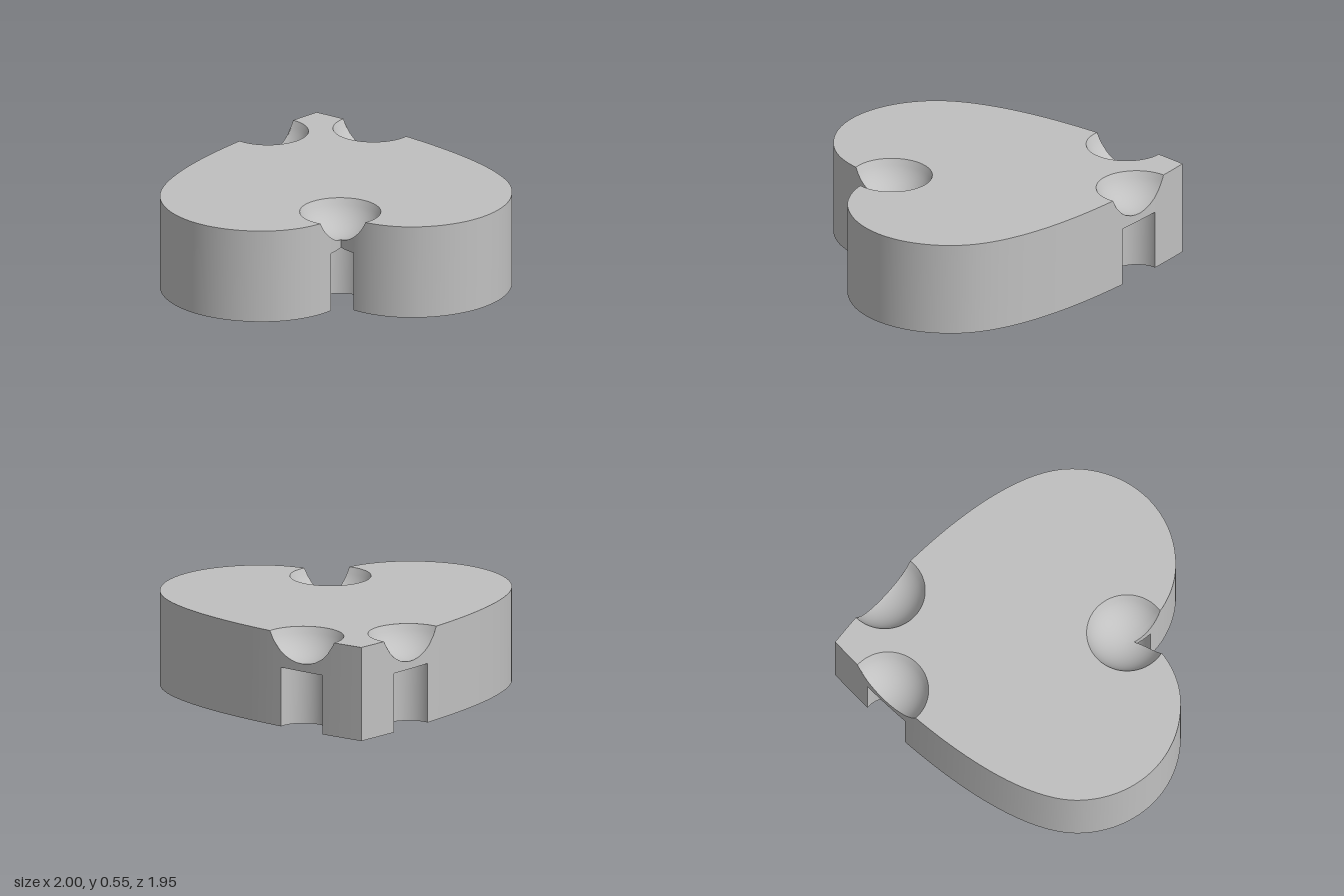
import * as THREE from 'three';

const HEIGHT = 0.547, NOTCH_TOP = 0.345;        // block height, top of lower notches
const SCOOP_R = 0.23, NOTCH_R = 0.149;          // plan radii at the rims
const BALL_LIFT = 0.088;                        // ball centre above the top face
const BALL_R = Math.hypot(SCOOP_R, BALL_LIFT);
const RECESS = { x: 0, z: 0.055, r: 0.373, top: 0.18 };
const V = (x, y) => new THREE.Vector2(x, y);    // plan point: (x, z)
const BITES = [V(0.3, -0.685), V(0, 0.68), V(-0.3, -0.685)];

// Closed plan outline: back tip, left lobe, front cusp, mirrored back to the tip.
// Points are added where it crosses the rim circles.
function heartOutline() {
  const path = new THREE.CurvePath();
  [[V(0, -0.975), V(0.42, -0.63), V(1, -0.04), V(1, 0.38)],
    [V(1, 0.38), V(1, 0.71), V(0.75, 0.97), V(0.42, 0.97)],
    [V(0.42, 0.97), V(0.25, 0.97), V(0.07, 0.87), V(0, 0.72)],
  ].forEach((p) => path.add(new THREE.CubicBezierCurve(...p)));
  const raw = path.getPoints(44);
  const half = [raw[0]];
  for (let i = 1; i < raw.length; i++) {
    const a = raw[i - 1], b = raw[i], cuts = [];
    for (const c of BITES) for (const r of [SCOOP_R, NOTCH_R]) {
      const inA = a.distanceTo(c) < r;
      if (inA === b.distanceTo(c) < r) continue;
      let lo = 0, hi = 1;
      for (let k = 0; k < 40; k++) {
        const m = (lo + hi) / 2;
        if (a.clone().lerp(b, m).distanceTo(c) < r === inA) lo = m; else hi = m;
      }
      cuts.push(lo);
    }
    cuts.sort((p, q) => p - q).forEach((t) => half.push(a.clone().lerp(b, t)));
    half.push(b);
  }
  const mirrored = half.slice(0, -1).reverse().map((p) => V(-p.x, p.y));
  return { points: [...half, ...mirrored], cusp: half.length - 1 };
}

// Where a circle bites the outline: index range, open edge and inner arc
function bite(points, c, r) {
  const hits = points.map((p, i) => (p.distanceTo(c) < r + 1e-6 ? i : -1)).filter((i) => i >= 0);
  const first = hits[0], last = hits[hits.length - 1];
  const angle = (p) => Math.atan2(p.y - c.y, p.x - c.x);
  const start = angle(points[last]);
  let span = angle(points[first]) - start;
  if (span < 0) span += Math.PI * 2;
  const arc = [];
  for (let k = 0; k <= 48; k++) {
    const t = start + (span * k) / 48;
    arc.push(V(c.x + r * Math.cos(t), c.y + r * Math.sin(t)));
  }
  return { c, first, last, arc, loop: [...points.slice(first, last), ...arc] };
}

// Outline with every bite replaced by its inner arc
function bittenOutline(points, bites) {
  const out = points.slice(0, -1);
  for (const b of [...bites].reverse()) {
    out.splice(b.first, b.last - b.first + 1, ...[...b.arc].reverse());
  }
  return out;
}

// Surface through rows of [x, y, z] points
function grid(rows) {
  const n = rows[0].length, index = [];
  for (let i = 0; i < rows.length - 1; i++) for (let j = 0; j < n - 1; j++) {
    const a = i * n + j, d = a + n;
    index.push(a, a + 1, d + 1, a, d + 1, d);
  }
  const g = new THREE.BufferGeometry();
  g.setAttribute('position', new THREE.Float32BufferAttribute(rows.flat(2), 3));
  g.setIndex(index);
  g.computeVertexNormals();
  return g;
}

// Flat face from a plan loop, looking up or down
function flat(loop, y, up, hole) {
  const s = up ? -1 : 1;
  const shape = new THREE.Shape(loop.map((p) => V(p.x, s * p.y)));
  if (hole) shape.holes.push(new THREE.Path(hole.map((p) => V(p.x, s * p.y))));
  return new THREE.ShapeGeometry(shape).rotateX((s * Math.PI) / 2).translate(0, y, 0);
}

// Vertical wall facing the inside of an arc
const innerWall = (arc, top) => grid([0, top].map((y) => arc.map((p) => [p.x, y, p.y])));

// Height of the scooped top at a plan point
function topHeight(p, c) {
  const d = p.distanceTo(c);
  return d >= SCOOP_R ? HEIGHT : HEIGHT + BALL_LIFT - Math.sqrt(BALL_R ** 2 - d * d);
}

// Ball-shaped scoop, in rings growing from its centre to its edge
function scoop({ c, loop }) {
  const rows = [];
  const ring = [...loop, loop[0]];
  for (let k = 0; k <= 14; k++) {
    rows.push(ring.map((q) => {
      const p = c.clone().lerp(q, k / 14);
      return [p.x, topHeight(p, c), p.y];
    }));
  }
  return grid(rows);
}

export function createModel() {
  const model = new THREE.Group();
  model.name = 'heartBlock';
  const grey = new THREE.MeshStandardMaterial({ color: 0xc0c0c0 });
  grey.name = 'light grey';
  const add = (name, geometry) => {
    const mesh = new THREE.Mesh(geometry, grey);
    mesh.name = name;
    model.add(mesh);
  };

  const { points, cusp } = heartOutline();
  const scoops = BITES.map((c) => bite(points, c, SCOOP_R));
  const notches = BITES.map((c) => bite(points, c, NOTCH_R));

  // Round recess underneath
  const circle = [];
  for (let k = 0; k <= 72; k++) {
    const t = (k / 72) * Math.PI * 2;
    circle.push(V(RECESS.x + RECESS.r * Math.cos(t), RECESS.z + RECESS.r * Math.sin(t)));
  }
  const disc = circle.slice(0, -1);
  add('recessWall', innerWall(circle, RECESS.top));
  add('recessCeiling', flat(disc, RECESS.top, false));

  // Top and bottom faces
  add('topFace', flat(bittenOutline(points, scoops), HEIGHT, true));
  add('bottomFace', flat(bittenOutline(points, notches), 0, false, disc));

  // Ball scoops above, round notches below
  ['left', 'front', 'right'].forEach((side, i) => {
    add(side + 'Scoop', scoop(scoops[i]));
    add(side + 'NotchWall', innerWall(notches[i].arc, NOTCH_TOP));
    add(side + 'NotchCeiling', flat(notches[i].loop, NOTCH_TOP, false));
  });

  // Outer wall, split at sharp corners and notch sides
  const breaks = [0, cusp, points.length - 1, ...notches.flatMap((n) => [n.first, n.last])]
    .sort((a, b) => a - b);
  for (let i = 0; i < breaks.length - 1; i++) {
    const run = points.slice(breaks[i], breaks[i + 1] + 1);
    const mid = run[0].clone().lerp(run[1], 0.5);
    const base = BITES.some((c) => mid.distanceTo(c) < NOTCH_R) ? NOTCH_TOP : 0;
    const top = run.map((p) => [p.x, Math.min(...BITES.map((c) => topHeight(p, c))), p.y]);
    add('outerWall', grid([top, run.map((p) => [p.x, base, p.y])]));
  }
  return model;
}
